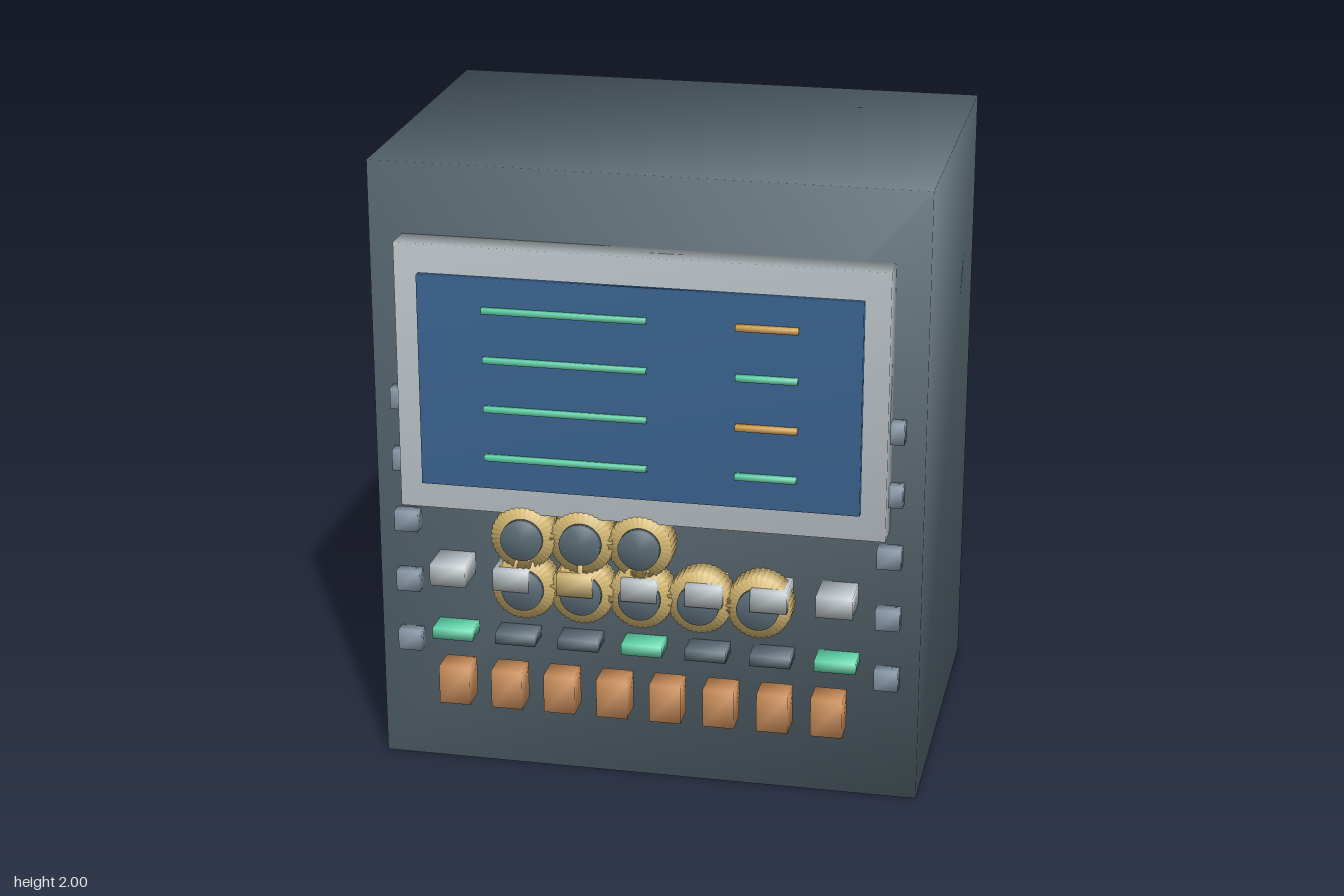
import * as THREE from 'three';
import { mergeVertices } from 'three/addons/utils/BufferGeometryUtils.js';

const mat = (name, color) => new THREE.MeshStandardMaterial({ name, color });

// Shares corner vertices so the shading runs smoothly over every edge
function soften(geometry) {
  geometry.deleteAttribute('normal');
  geometry.deleteAttribute('uv');
  geometry.clearGroups();
  const welded = mergeVertices(geometry);
  welded.computeVertexNormals();
  return welded;
}

export function createModel() {
  const slate = mat('slate casing', 0x5a6b75);
  const silver = mat('silver', 0xb9c1c5);
  const blue = mat('screen blue', 0x3a628f);
  const green = mat('signal green', 0x5fd2a8);
  const amber = mat('amber', 0xd2a04a);
  const brass = mat('brass', 0xd2b672);
  const copper = mat('copper', 0xd6965f);
  const steel = mat('steel blue', 0x8b9cac);

  const model = new THREE.Group();
  model.name = 'controlConsole';

  const add = (name, geometry, material, x, y, z) => {
    const mesh = new THREE.Mesh(geometry, material);
    mesh.name = name;
    mesh.position.set(x, y, z);
    model.add(mesh);
    return mesh;
  };
  // Box centred on x, y and spanning z0 to z1
  const box = (name, material, x, y, w, h, z0, z1) =>
    add(name, soften(new THREE.BoxGeometry(w, h, z1 - z0)), material, x, y, (z0 + z1) / 2);

  // Cabinet, display frame and screen
  box('cabinet', slate, 0, 1, 1.74, 2, -0.655, 0.505);
  box('displayFrame', silver, 0, 1.342, 1.53, 0.86, 0.505, 0.602);
  box('screen', blue, 0, 1.342, 1.375, 0.68, 0.6, 0.63);

  // Readout lines on the screen
  [1.585, 1.426, 1.267, 1.108].forEach((y, i) => {
    box('readoutLong', green, -0.225, y, 0.51, 0.017, 0.631, 0.65);
    box('readoutShort', i % 2 ? green : amber, 0.4, y, 0.19, 0.017, 0.632, 0.655);
  });

  // Knurled dials: every second rim vertex is pulled slightly inwards
  const teeth = 36;
  const dial = new THREE.CylinderGeometry(0.104, 0.104, 0.078, teeth * 2);
  const p = dial.attributes.position;
  for (let i = 0; i < p.count; i++) {
    const angle = Math.atan2(p.getX(i), p.getZ(i));
    const step = Math.round((angle / Math.PI) * teeth);
    const s = step % 2 ? 0.955 : 1;
    p.setXYZ(i, p.getX(i) * s, p.getY(i), p.getZ(i) * s);
  }
  dial.rotateX(Math.PI / 2);
  const dialGeometry = soften(dial);
  const cap = new THREE.CylinderGeometry(0.066, 0.066, 0.022, 32);
  cap.rotateX(Math.PI / 2);
  const capGeometry = soften(cap);
  for (let i = 0; i < 8; i++) {
    const x = -0.375 + 0.1875 * (i < 3 ? i : i - 3);
    const y = i < 3 ? 0.83 : 0.66;
    add('dialRim', dialGeometry, brass, x, y, 0.564);
    add('dialCap', capGeometry, slate, x, y, 0.617);
  }

  // Toggles with an indicator lamp below each
  for (let i = 0; i < 7; i++) {
    const x = (i - 3) * 0.205;
    box('toggle', i === 2 ? brass : silver, x, 0.692, 0.115, 0.07, 0.505, 0.632);
    box('indicator', i % 3 ? slate : green, x, 0.473, 0.13, 0.036, 0.505, 0.594);
  }

  // Row of keys
  for (let i = 0; i < 8; i++) {
    box('key', copper, (i - 3.5) * 0.171, 0.318, 0.1, 0.127, 0.547, 0.64);
  }

  // Bolts down both edges
  for (const side of [-1, 1]) {
    for (let i = 0; i < 5; i++) {
      box('bolt', steel, side * 0.77, 1.244 - i * 0.206, 0.076, 0.068, 0.505, 0.548);
    }
  }
  return model;
}
